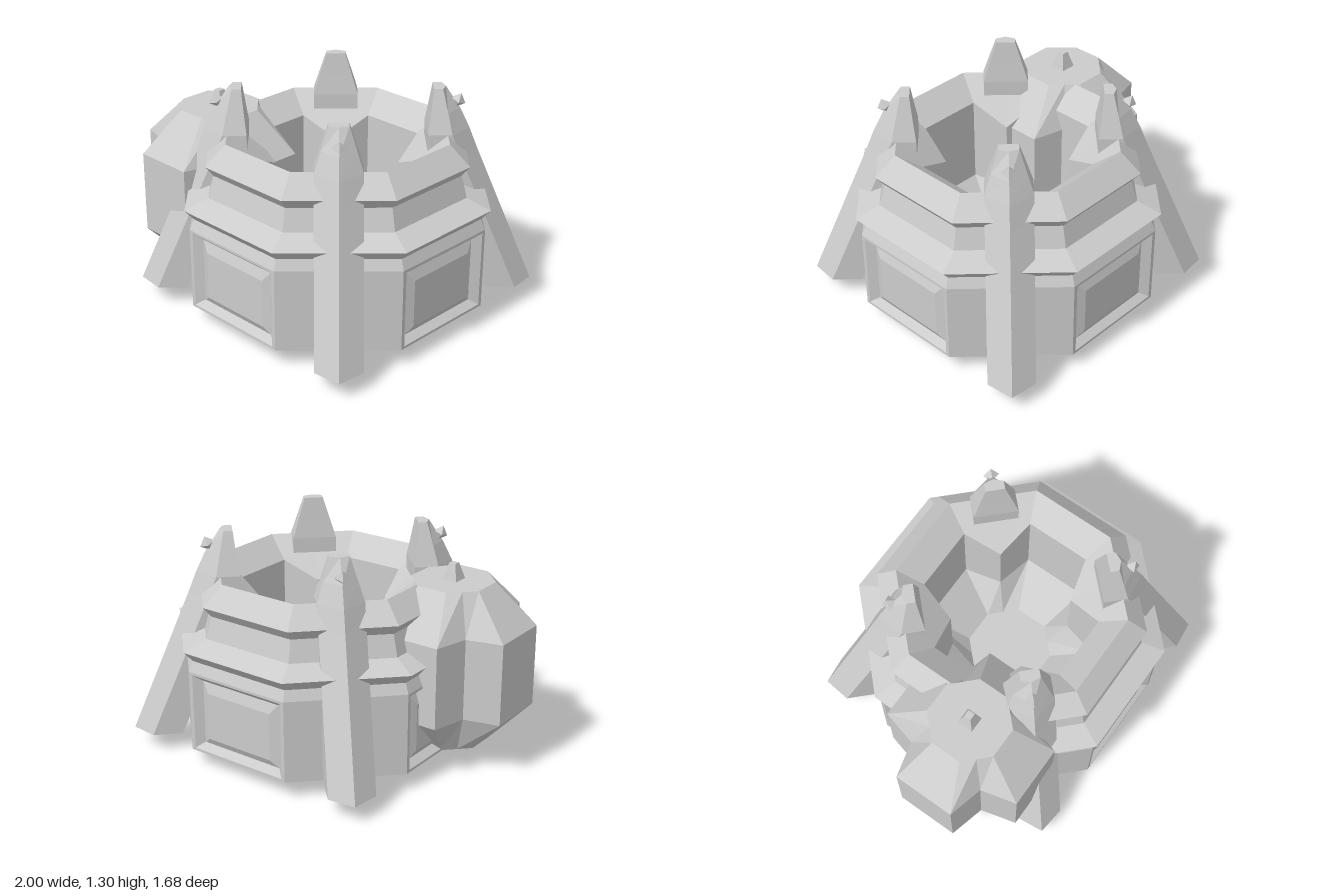
import * as THREE from 'three';

const material = new THREE.MeshStandardMaterial({ color: 0xcccccc, flatShading: true });

// Skin a series of equal-count rings, counter-clockwise seen from the last one
function loft(name, rings, { start = false, end = false, skip = () => false } = {}) {
  const pos = [];
  const tri = (...pts) => pts.forEach((p) => pos.push(p.x, p.y, p.z));
  const n = rings[0].length;
  for (let k = 0; k + 1 < rings.length; k++) {
    for (let i = 0; i < n; i++) {
      if (skip(i)) continue;
      const j = (i + 1) % n, lo = rings[k], hi = rings[k + 1];
      tri(lo[i], lo[j], hi[j]);
      tri(lo[i], hi[j], hi[i]);
    }
  }
  const cap = (ring, flip) => {
    const c = ring.reduce((s, p) => s.add(p), new THREE.Vector3()).divideScalar(n);
    ring.forEach((p, i) => {
      const q = ring[(i + 1) % n];
      if (flip) tri(c, q, p); else tri(c, p, q);
    });
  };
  if (start) cap(rings[0], true);
  if (end) cap(rings[rings.length - 1], false);
  const geometry = new THREE.BufferGeometry();
  geometry.setAttribute('position', new THREE.Float32BufferAttribute(pos, 3));
  geometry.computeVertexNormals();
  const mesh = new THREE.Mesh(geometry, material);
  mesh.name = name;
  return mesh;
}

// Octagon of apothem a; the middle of each diagonal side sits at (d, d),
// so a small or large d folds that side. yd is the height of that point.
function ring(a, y, d = a * Math.SQRT1_2, yd = y) {
  const c = a * (Math.SQRT2 - 1), pts = [];
  let side = [[-c, a, y], [c, a, y], [d, d, yd]];
  for (let k = 0; k < 4; k++) {
    side.forEach(([x, z, h]) => pts.push(new THREE.Vector3(x, h, z)));
    side = side.map(([x, z, h]) => [z, -x, h]);
  }
  return pts;
}

function createBody() {
  const body = new THREE.Group();
  body.name = 'body';
  const isPanelSide = (i) => i % 3 === 0;
  body.add(loft('baseWall', [ring(0.815, 0.1), ring(0.815, 0.58)], { skip: isPanelSide }));
  body.add(loft('baseFloor', [ring(0.8, 0.1), ring(0.815, 0.1)], { start: true }));

  // Banded upper wall
  const profile = [[0.815, 0.58], [0.79, 0.64], [0.84, 0.7], [0.71, 0.755],
    [0.675, 0.88], [0.72, 0.94], [0.61, 1.055]];
  body.add(loft('upperWall', profile.map(([a, y]) => ring(a, y))));

  // Sloped rim and the folded well inside it
  body.add(loft('rimAndWell', [
    ring(0.61, 1.055),
    ring(0.465, 0.935, 0.245, 0.835),
    ring(0.465, 0.42, 0.245),
    ring(0.235, 0.2),
  ], { end: true }));

  // Framed panels on the four straight sides: half width, bottom, top, depth
  const steps = [[0.3376, 0.1, 0.58, 0.815], [0.315, 0.115, 0.565, 0.815],
    [0.27, 0.15, 0.53, 0.775], [0.22, 0.19, 0.47, 0.795]];
  for (let k = 0; k < 4; k++) {
    const rects = steps.map(([w, b, t, z]) =>
      [[-w, b], [w, b], [w, t], [-w, t]].map(([x, y]) => new THREE.Vector3(x, y, z)));
    const panel = loft('panel', rects, { end: true });
    panel.rotation.y = k * Math.PI / 2;
    body.add(panel);
  }
  return body;
}

// Leaning buttress with a ridged outer side and a tapered top
function createButtress() {
  const buttress = new THREE.Group();
  buttress.name = 'buttress';
  // height, ridge, shoulder, inner side, half width
  const sections = [
    [0.1, 1.14, 1.035, 0.865, 0.13],
    [0.93, 0.79, 0.685, 0.5, 0.13],
    [1.055, 0.74, 0.635, 0.5, 0.13],
    [1.17, 0.685, 0.61, 0.515, 0.095],
    [1.3, 0.6, 0.58, 0.53, 0.055],
  ];
  const rings = sections.map(([y, ridge, shoulder, inner, w]) =>
    [[0, ridge], [w, shoulder], [w, inner], [-w, inner], [-w, shoulder]]
      .map(([x, z]) => new THREE.Vector3(x, y, z)));
  buttress.add(loft('buttressBeam', rings, { start: true, end: true }));

  const stud = new THREE.Mesh(new THREE.OctahedronGeometry(0.045), material);
  stud.name = 'stud';
  stud.position.set(0, 1.215, 0.67);
  stud.rotation.x = 0.4;
  buttress.add(stud);
  return buttress;
}

// Side tank with folded corners and a stub at each end
function createTank() {
  const tank = new THREE.Group();
  tank.name = 'tank';
  tank.add(loft('tankShell', [
    ring(0.22, 0.1), ring(0.44, 0.34, 0.235), ring(0.44, 0.82, 0.235), ring(0.22, 1.055),
  ], { start: true, end: true }));
  const stub = (name, top, bottom, y) => {
    const geometry = new THREE.CylinderGeometry(top * Math.SQRT1_2, bottom * Math.SQRT1_2, 0.1, 4);
    const mesh = new THREE.Mesh(geometry.rotateY(Math.PI / 4), material);
    mesh.name = name;
    mesh.position.y = y;
    tank.add(mesh);
  };
  stub('topStub', 0.04, 0.095, 1.1);
  stub('bottomStub', 0.095, 0.045, 0.05);
  return tank;
}

export function createModel() {
  const model = new THREE.Group();
  model.name = 'fortifiedTower';
  const tower = new THREE.Group();
  tower.name = 'tower';
  tower.position.x = 0.16;
  tower.add(createBody());
  for (let k = 0; k < 4; k++) {
    const buttress = createButtress();
    buttress.rotation.y = Math.PI / 4 + k * Math.PI / 2;
    tower.add(buttress);
  }
  const tank = createTank();
  tank.position.set(-0.56, 0, 0.237);
  model.add(tower, tank);
  return model;
}
